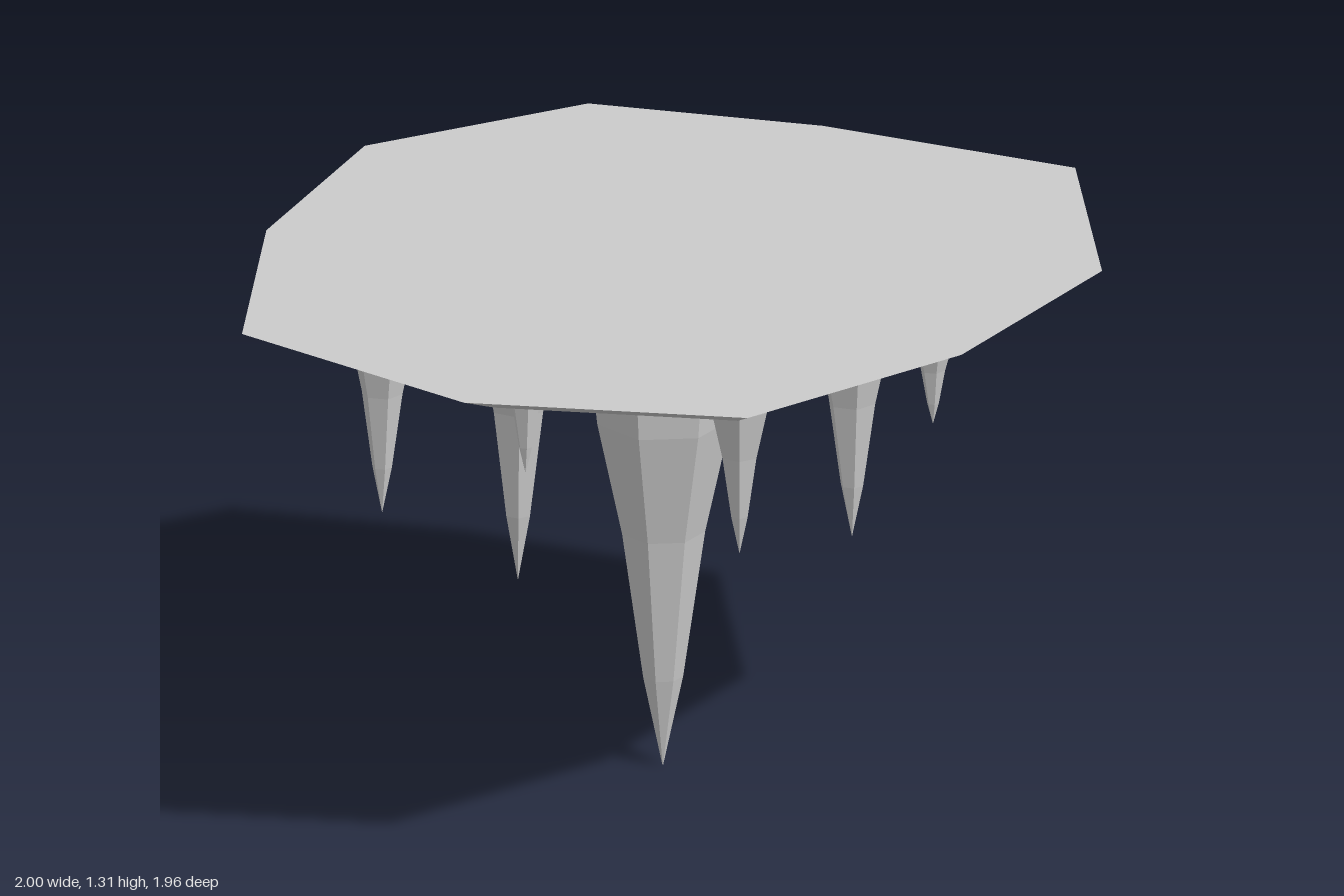
import * as THREE from 'three';

const material = new THREE.MeshStandardMaterial({ color: 0xcccccc, flatShading: true });

// Skins a stack of rings (top to bottom) and closes both ends.
function loft(rings) {
  const pos = [];
  const tri = (...pts) => pts.forEach((p) => pos.push(p.x, p.y, p.z));
  const middle = (ring) => ring.reduce((s, p) => s.add(p), new THREE.Vector3()).divideScalar(ring.length);
  const n = rings[0].length;
  const first = rings[0], last = rings[rings.length - 1];
  const top = middle(first), bottom = middle(last);
  for (let i = 0; i < n; i++) {
    const j = (i + 1) % n;
    tri(top, first[j], first[i]);
    tri(bottom, last[i], last[j]);
    for (let k = 0; k < rings.length - 1; k++) {
      const a = rings[k], b = rings[k + 1];
      tri(a[i], a[j], b[i]);
      tri(a[j], b[j], b[i]);
    }
  }
  const geometry = new THREE.BufferGeometry();
  geometry.setAttribute('position', new THREE.Float32BufferAttribute(pos, 3));
  geometry.computeVertexNormals();
  return geometry;
}

// Ceiling slab: irregular ten-sided outline, shrinking in steps downward
const outline = [
  [-0.35, -0.98], [0.22, -0.91], [0.85, -0.72], [1, -0.07], [0.74, 0.51],
  [0.29, 0.98], [-0.39, 0.97], [-0.97, 0.6], [-1, -0.07], [-0.84, -0.64],
];
const slabLevels = [[1.31, 1], [1.247, 0.86], [1.18, 0.3]]; // height, scale

// Hanging spike: fraction of length, fraction of radius
const spikeProfile = [[0, 0.97], [0.08, 1], [0.26, 0.87], [0.5, 0.54], [0.81, 0.26], [1, 0.006]];

function spikeGeometry(x, z, tipY, radius, sides, turn, baseY) {
  return loft(spikeProfile.map(([t, r]) =>
    Array.from({ length: sides }, (_, i) => {
      const a = turn + (i / sides) * Math.PI * 2;
      return new THREE.Vector3(
        x + Math.cos(a) * r * radius,
        THREE.MathUtils.lerp(baseY, tipY, t),
        z + Math.sin(a) * r * radius);
    })));
}

export function createModel() {
  const group = new THREE.Group();
  const add = (name, geometry) => {
    const mesh = new THREE.Mesh(geometry, material);
    mesh.name = name;
    group.add(mesh);
  };

  add('ceilingSlab', loft(slabLevels.map(([y, s]) =>
    outline.map(([x, z]) => new THREE.Vector3(x * s, y, z * s)))));

  // x, z, tip height, radius, sides, turn, base height
  const spikes = [
    ['mainSpike', -0.05, -0.06, 0, 0.188, 7, 0, 1.2],
    ['largeSpike', -0.435, -0.35, 0.34, 0.125, 6, 0.35, 1.215],
    ['mediumSpike', 0.377, -0.255, 0.53, 0.108, 6, 0.2, 1.215],
    ['sideSpike', -0.715, -0.01, 0.63, 0.092, 6, 0.1, 1.24],
    ['frontSpike', 0.19, 0.367, 0.72, 0.086, 6, 0.4, 1.22],
    ['backSpike', 0.05, -0.655, 0.82, 0.075, 6, 0.3, 1.24],
    ['smallSpike', -0.335, 0.27, 0.86, 0.064, 6, 0.2, 1.21],
    ['tinySpike', 0.615, 0.08, 0.96, 0.055, 6, 0.1, 1.235],
  ];
  for (const [name, ...spec] of spikes) add(name, spikeGeometry(...spec));

  return group;
}
